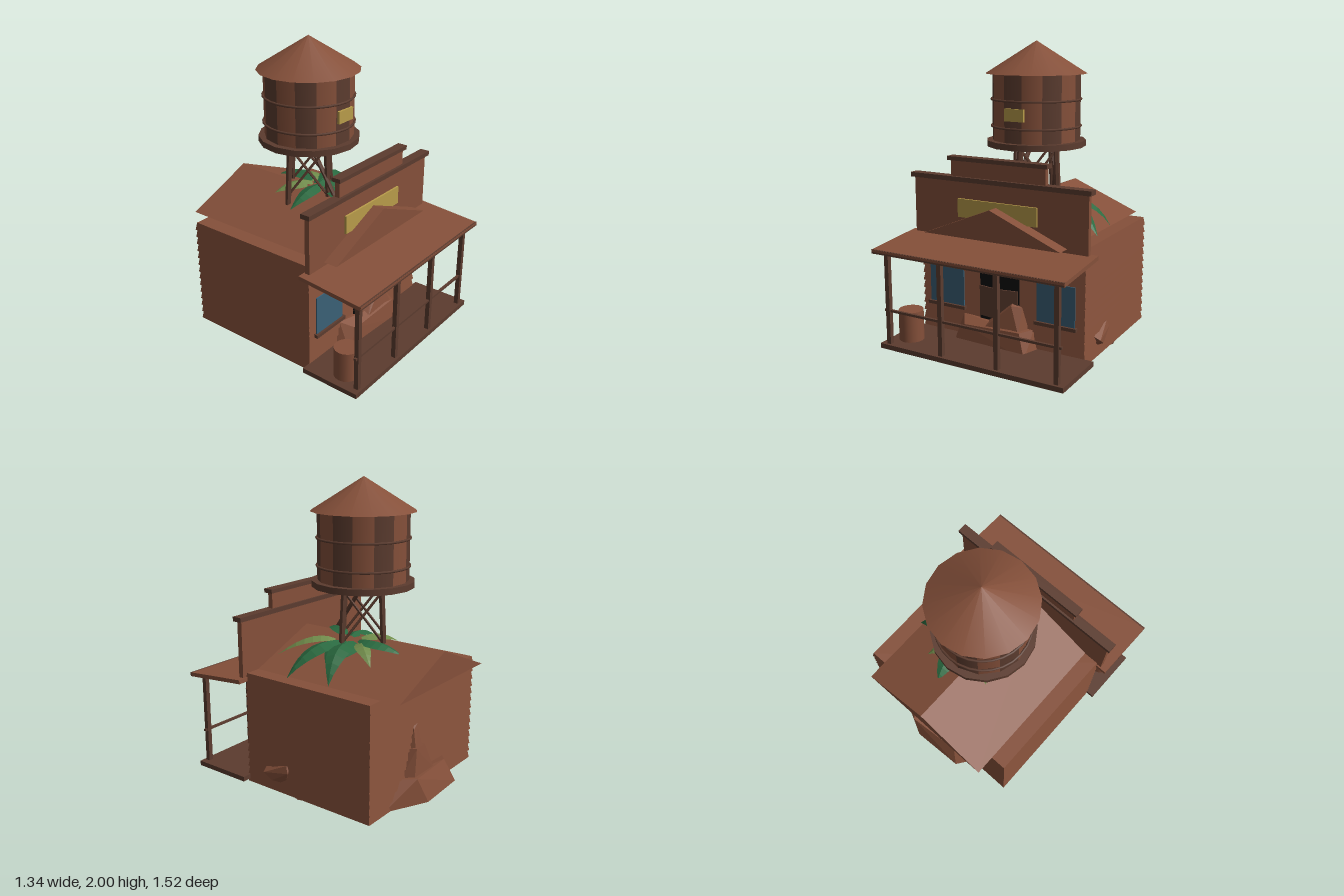
import * as THREE from 'three';
import { ConvexGeometry } from 'three/addons/geometries/ConvexGeometry.js';

const mat = (name, color, side = THREE.FrontSide) => {
  const m = new THREE.MeshStandardMaterial({ color, side });
  m.name = name;
  return m;
};

export function createModel() {
  const wood = mat('red brown wood', 0x85503a);
  const trim = mat('dark brown trim', 0x5c3c2f);
  const brass = mat('yellow sign', 0xb89c4a);
  const glass = mat('blue glass', 0x3a6076);
  const black = mat('black opening', 0x0c0c0c);
  const pale = mat('pale earth', 0x9a8468);
  const green = mat('dark green leaf', 0x2a6a40, THREE.DoubleSide);
  const olive = mat('olive leaf', 0x6f8a4a, THREE.DoubleSide);

  const root = new THREE.Group();
  root.name = 'saloonWithWaterTower';
  const add = (name, geo, material, x = 0, y = 0, z = 0, parent = root) => {
    const m = new THREE.Mesh(geo, material);
    m.name = name;
    m.position.set(x, y, z);
    parent.add(m);
    return m;
  };
  // box given by its minimum and maximum on each axis
  const box = (name, material, x0, x1, y0, y1, z0, z1) =>
    add(name, new THREE.BoxGeometry(x1 - x0, y1 - y0, z1 - z0), material,
      (x0 + x1) / 2, (y0 + y1) / 2, (z0 + z1) / 2);
  // straight bar between two points
  const bar = (name, a, b, r, sides, material, parent = root) => {
    const A = new THREE.Vector3(...a), B = new THREE.Vector3(...b);
    const m = add(name, new THREE.CylinderGeometry(r, r, A.distanceTo(B), sides).toNonIndexed(), material, 0, 0, 0, parent);
    m.geometry.computeVertexNormals();
    m.position.copy(A).add(B).multiplyScalar(0.5);
    m.quaternion.setFromUnitVectors(new THREE.Vector3(0, 1, 0), B.sub(A).normalize());
    return m;
  };
  const hull = (name, pts, material) =>
    add(name, new ConvexGeometry(pts.map(p => new THREE.Vector3(...p))), material);

  // walls: rows of lapped boards, each wider at its lower edge
  const rows = 14, rowH = 0.74 / rows;
  for (let i = 0; i < rows; i++) {
    const g = new THREE.BoxGeometry(1.2, rowH, 0.97).toNonIndexed();
    const p = g.attributes.position;
    for (let k = 0; k < p.count; k++) {
      if (p.getY(k) > 0) {
        p.setX(k, p.getX(k) - Math.sign(p.getX(k)) * 0.009);
        p.setZ(k, p.getZ(k) - Math.sign(p.getZ(k)) * 0.009);
      }
    }
    g.computeVertexNormals();
    add('wallBoard', g, wood, 0, 0.05 + rowH * (i + 0.5), -0.155);
  }

  // gable roof
  const gable = new THREE.Shape([[-0.487, 0.79], [0.487, 0.79], [0, 0.99]].map(p => new THREE.Vector2(...p)));
  add('gableRoof', new THREE.ExtrudeGeometry(gable, { depth: 1.21, bevelEnabled: false }), wood, 0, 0, -0.76);

  // stepped false front with caps and sign
  box('falseFront', wood, -0.625, 0.625, 0.765, 1.13, 0.323, 0.357);
  box('falseFrontTop', wood, -0.34, 0.34, 1.13, 1.265, 0.323, 0.357);
  box('lowerCap', trim, -0.645, 0.645, 1.13, 1.16, 0.31, 0.375);
  box('upperCap', trim, -0.357, 0.357, 1.262, 1.288, 0.31, 0.375);
  box('signBoard', brass, -0.285, 0.285, 0.9, 1.02, 0.357, 0.37);

  // porch
  box('porchFloor', trim, -0.655, 0.655, 0.065, 0.097, 0.32, 0.73);
  const porchRoof = add('porchRoof', new THREE.BoxGeometry(1.344, 0.026, 0.452), wood, 0, 0.733, 0.537);
  porchRoof.rotation.x = 0.085;
  box('porchRoofEdge', trim, -0.672, 0.672, 0.702, 0.728, 0.752, 0.762);
  for (const x of [-0.6, -0.2, 0.2, 0.6]) box('porchPost', trim, x - 0.015, x + 0.015, 0.09, 0.715, 0.683, 0.713);
  box('porchRail', trim, -0.63, 0.63, 0.312, 0.327, 0.69, 0.706);
  add('barrel', new THREE.CylinderGeometry(0.081, 0.081, 0.2, 16), wood, -0.53, 0.197, 0.565);

  // windows and doorway
  for (const s of [-1, 1]) {
    box('window', glass, s * 0.402 - 0.132, s * 0.402 + 0.132, 0.29, 0.55, 0.33, 0.337);
    box('windowSill', trim, s * 0.402 - 0.145, s * 0.402 + 0.145, 0.27, 0.292, 0.325, 0.352);
    // hinged half doors, swung a little outward
    const hinge = new THREE.Group();
    hinge.name = 'swingDoor';
    hinge.position.set(s * 0.14, 0.36, 0.342);
    hinge.rotation.y = s * 0.15;
    hinge.add(new THREE.Mesh(new THREE.BoxGeometry(0.132, 0.2, 0.01), trim));
    hinge.children[0].position.x = -s * 0.066;
    hinge.children[0].name = 'doorLeaf';
    root.add(hinge);
  }
  box('doorway', black, -0.143, 0.143, 0.097, 0.62, 0.329, 0.336);

  // broken rock heaps at the front and back walls
  hull('frontRockBase', [[-0.34, 0.06, 0.32], [0.28, 0.06, 0.32], [-0.3, 0.06, 0.42], [0.24, 0.06, 0.445],
    [-0.28, 0.24, 0.32], [-0.22, 0.2, 0.41], [0.19, 0.22, 0.42], [0.24, 0.22, 0.32]], wood);
  hull('frontRockTop', [[-0.12, 0.2, 0.32], [-0.08, 0.2, 0.405], [0.18, 0.2, 0.41], [0.21, 0.2, 0.32],
    [0, 0.29, 0.36], [0.1, 0.385, 0.34], [0.17, 0.36, 0.34], [0.11, 0.37, 0.375]], wood);
  hull('backRockBase', [[-0.31, 0.05, -0.62], [0.42, 0.05, -0.62], [-0.22, 0.05, -0.745], [0.14, 0.05, -0.76],
    [-0.25, 0.19, -0.62], [-0.16, 0.21, -0.69], [0.21, 0.22, -0.72], [0.27, 0.21, -0.62]], wood);
  hull('backRockMiddle', [[-0.1, 0.2, -0.62], [-0.03, 0.2, -0.69], [0.2, 0.2, -0.695], [0.24, 0.2, -0.62],
    [0.04, 0.38, -0.62], [0.06, 0.39, -0.675], [0.16, 0.39, -0.68], [0.18, 0.38, -0.62]], wood);
  hull('backRockSpire', [[0.06, 0.37, -0.62], [0.07, 0.37, -0.667], [0.15, 0.37, -0.667], [0.17, 0.37, -0.62],
    [0.1, 0.53, -0.643], [0.14, 0.5, -0.643], [0.12, 0.53, -0.62]], wood);
  hull('sideRock', [[0.58, 0.2, 0.18], [0.632, 0.17, 0.165], [0.58, 0.115, 0.13], [0.625, 0.13, 0.1], [0.58, 0.11, 0.02],
    [0.58, 0.24, -0.02], [0.61, 0.2, -0.02], [0.6, 0.245, 0.0]], wood);

  // shallow lumps below the building
  for (const [x, z, rx, rz, h, m] of [
    [0, -0.15, 0.2, 0.24, 0.042, trim], [0, -0.15, 0.1, 0.1, 0.05, pale],
    [-0.5, -0.05, 0.1, 0.1, 0.028, trim], [0.5, -0.1, 0.11, 0.14, 0.018, trim],
    [0.12, -0.42, 0.16, 0.09, 0.022, trim], [-0.25, 0.1, 0.13, 0.1, 0.02, trim]]) {
    const g = new THREE.ConeGeometry(1, 1, 8).toNonIndexed();
    g.rotateX(Math.PI).scale(rx, h, rz);
    g.computeVertexNormals();
    add('undersideLump', g, m, x, 0.05 - h / 2, z);
  }

  // water tower
  const tower = new THREE.Group();
  tower.name = 'waterTower';
  tower.position.z = -0.15;
  root.add(tower);
  add('towerRoof', new THREE.ConeGeometry(0.335, 0.21, 16), wood, 0, 1.895, 0, tower);
  add('towerPlatform', new THREE.CylinderGeometry(0.33, 0.33, 0.04, 16), trim, 0, 1.338, 0, tower);
  const staves = 14, step = Math.PI * 2 / staves;
  for (let i = 0; i < staves; i++) {
    add('tankStave', new THREE.CylinderGeometry(0.292, 0.292, 0.44, 1, 1, true, (i - 0.5) * step - 0.05, step),
      i % 2 ? wood : trim, 0, 1.575, 0, tower);
  }
  for (const y of [1.45, 1.625]) {
    const hoop = add('tankHoop', new THREE.TorusGeometry(0.295, 0.008, 6, 28), trim, 0, y, 0, tower);
    hoop.rotation.x = Math.PI / 2;
  }
  add('tankPlate', new THREE.BoxGeometry(0.14, 0.08, 0.018), brass, 0, 1.54, 0.291, tower);
  // four splayed legs with crossed braces
  const leg = (i, y) => {
    const a = 0.17 + i * Math.PI / 2, r = 0.165 + (1.32 - y) * 0.06;
    return [Math.cos(a) * r, y, Math.sin(a) * r];
  };
  for (let i = 0; i < 4; i++) {
    bar('towerLeg', leg(i, 0.85), leg(i, 1.325), 0.02, 6, trim, tower);
    bar('towerBrace', leg(i, 0.97), leg(i + 1, 1.3), 0.009, 5, trim, tower);
    bar('towerBrace', leg(i + 1, 0.97), leg(i, 1.3), 0.009, 5, trim, tower);
  }
  bar('towerStrut', [-0.03, 1.3, -0.12], [-0.05, 0.96, 0.12], 0.015, 6, trim);

  // creeping plant: arched folded leaves, widest near the middle
  const leaf = (a, peak, b, width, material) => {
    const curve = new THREE.QuadraticBezierCurve3(new THREE.Vector3(...a), new THREE.Vector3(...peak), new THREE.Vector3(...b));
    const n = 7, pos = [], idx = [];
    const side = new THREE.Vector3(b[2] - a[2], 0, a[0] - b[0]).normalize();
    for (let i = 0; i <= n; i++) {
      const t = i / n, c = curve.getPoint(t), w = width * Math.sin(Math.PI * Math.pow(0.08 + 0.92 * t, 0.8));
      for (const s of [-1, 0, 1]) pos.push(c.x + side.x * w * s, c.y - Math.abs(s) * w * 0.35, c.z + side.z * w * s);
      if (i < n) for (const k of [0, 1]) {
        const o = i * 3 + k;
        idx.push(o, o + 1, o + 3, o + 1, o + 4, o + 3);
      }
    }
    let g = new THREE.BufferGeometry();
    g.setAttribute('position', new THREE.Float32BufferAttribute(pos, 3));
    g.setIndex(idx);
    g = g.toNonIndexed();
    g.computeVertexNormals();
    add('leaf', g, material);
  };
  leaf([0.12, 0.97, -0.16], [0.38, 1.06, -0.2], [0.5, 0.8, -0.26], 0.07, green);
  leaf([0.12, 0.97, -0.1], [0.38, 1.06, -0.05], [0.54, 0.8, 0.035], 0.08, green);
  leaf([0.12, 0.97, -0.02], [0.24, 1.05, 0.08], [0.35, 0.86, 0.28], 0.065, olive);
  leaf([0.1, 0.99, -0.2], [0.16, 1.04, -0.38], [0.09, 0.94, -0.51], 0.07, green);
  leaf([0.1, 0.97, -0.2], [0.22, 1.03, -0.3], [0.28, 0.89, -0.41], 0.05, olive);
  leaf([0.1, 0.97, -0.15], [0.26, 1.02, -0.14], [0.37, 0.86, -0.14], 0.11, green);
  leaf([0.06, 0.99, -0.18], [-0.06, 1.04, -0.24], [-0.16, 0.94, -0.32], 0.07, olive);
  leaf([0.06, 0.99, -0.1], [-0.1, 1.04, -0.08], [-0.24, 0.9, -0.12], 0.06, green);
  leaf([0.06, 0.99, -0.05], [-0.02, 1.05, 0.08], [-0.1, 0.96, 0.2], 0.05, green);

  return root;
}
